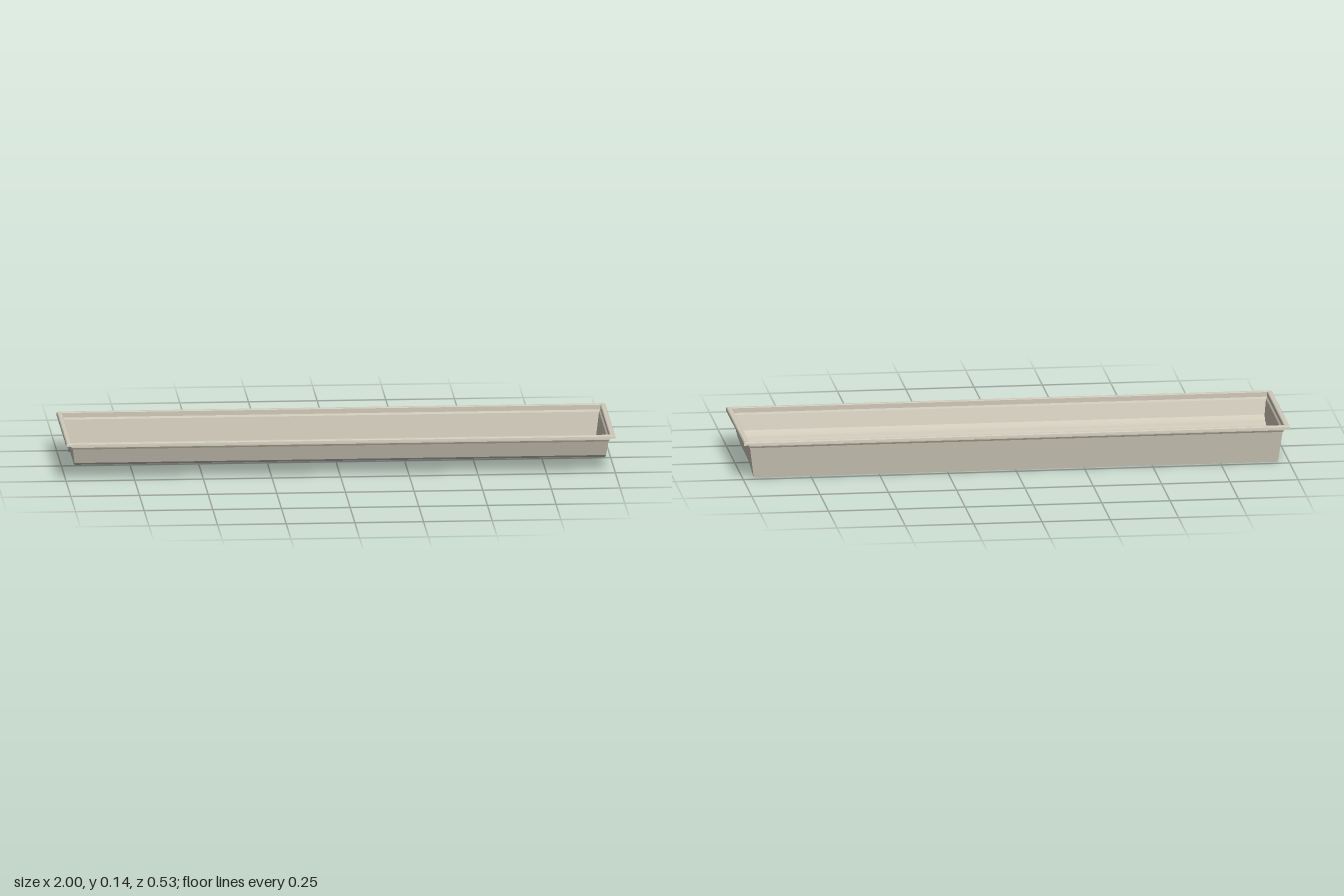
import * as THREE from 'three';

// Smooth or faceted sheet lofted through rows of points [x, y, z]
function loft(rows, smooth) {
  const n = rows[0].length;
  const index = [];
  for (let r = 0; r < rows.length - 1; r++) {
    for (let i = 0; i < n - 1; i++) {
      const a = r * n + i, b = a + 1, c = a + n, d = c + 1;
      index.push(a, b, c, b, d, c);
    }
  }
  let geo = new THREE.BufferGeometry();
  geo.setAttribute('position', new THREE.Float32BufferAttribute(rows.flat(2), 3));
  geo.setIndex(index);
  if (!smooth) geo = geo.toNonIndexed();
  geo.computeVertexNormals();
  return geo;
}

// Closed rectangular loop of half sizes x, z at height y
const loop = ([x, z, y]) => [[x, y, z], [x, y, -z], [-x, y, -z], [-x, y, z], [x, y, z]];

export function createModel() {
  const tray = new THREE.Group();
  tray.name = 'tray';
  const beige = new THREE.MeshStandardMaterial({ color: 0xcfcaba, side: THREE.DoubleSide });
  beige.name = 'warm beige';

  const add = (name, geo) => {
    const mesh = new THREE.Mesh(geo, beige);
    mesh.name = name;
    tray.add(mesh);
  };

  // Rolled rim with a short hanging lip: half width, half depth, height
  const rim = [
    [1, 0.267, 0.131], [0.999, 0.266, 0.139], [0.996, 0.263, 0.143],
    [0.983, 0.252, 0.143], [0.98, 0.25, 0.14],
  ];
  add('rim', loft(rim.map(loop), false));

  // Stepped collar under the rim
  const collar = [[0.98, 0.25, 0.14], [0.98, 0.25, 0.123], [0.975, 0.246, 0.116]];
  add('collar', loft(collar.map(loop), false));

  // Floor outline from front to back: z, y
  const profile = [
    [0.228, 0.062], [0.215, 0.055], [0.2, 0.049], [0.185, 0.046], [0.165, 0.044],
    [0.148, 0.039], [0.13, 0.037], [0.05, 0.037], [-0.05, 0.037], [-0.105, 0.037],
    [-0.125, 0.033], [-0.145, 0.026], [-0.165, 0.02], [-0.185, 0.012],
    [-0.205, 0.007], [-0.227, 0],
  ];
  const [topX, topZ, topY] = collar[2];
  const sideX = (y) => topX - 0.016 * (topY - y) / topY; // side walls lean inward
  const floorEdge = (s) => profile.map(([z, y]) => [s * sideX(y), y, z]);
  add('floor', loft([floorEdge(1), floorEdge(-1)], true));

  // Mirrored side walls down to the floor outline
  for (const s of [1, -1]) {
    const top = profile.map(([z], i) => {
      const end = i === 0 || i === profile.length - 1;
      return [s * topX, topY, end ? Math.sign(z) * topZ : z];
    });
    const rows = [top, floorEdge(s)];
    add(s > 0 ? 'leftWall' : 'rightWall', loft(s > 0 ? rows.reverse() : rows, false));
  }

  // Front and back walls
  for (const s of [1, -1]) {
    const [z, y] = s > 0 ? profile[0] : profile[profile.length - 1];
    const bottom = [[-s * sideX(y), y, z], [s * sideX(y), y, z]];
    const top = [[-s * topX, topY, s * topZ], [s * topX, topY, s * topZ]];
    add(s > 0 ? 'frontWall' : 'backWall', loft([bottom, top], false));
  }
  return tray;
}
